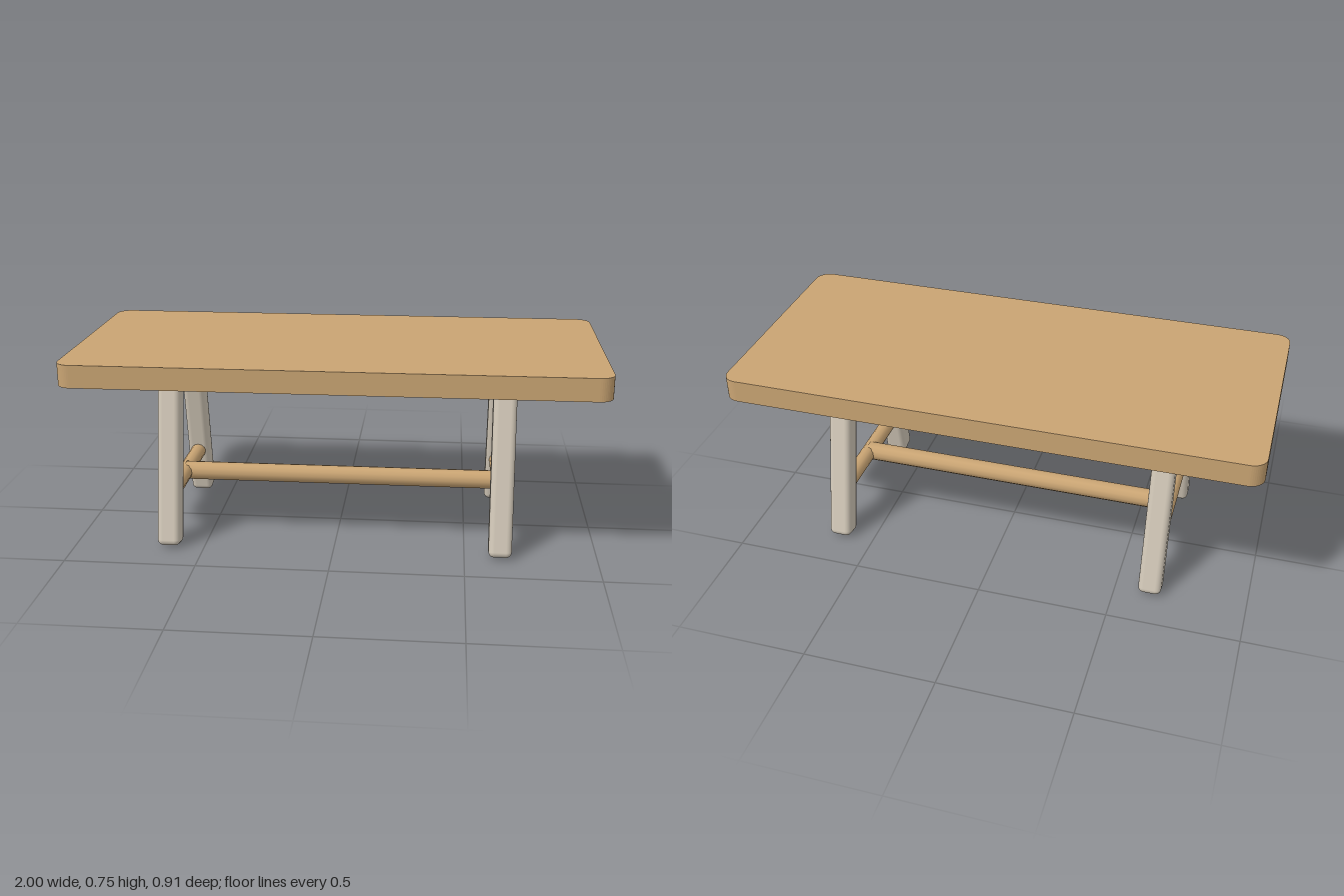
import * as THREE from 'three';
import { RoundedBoxGeometry } from 'three/addons/geometries/RoundedBoxGeometry.js';

const wood = new THREE.MeshStandardMaterial({ name: 'warm wood', color: 0xc9a473 });
const paint = new THREE.MeshStandardMaterial({ name: 'pale leg paint', color: 0xd2c8b8 });

function addMesh(parent, name, geometry, material) {
  const mesh = new THREE.Mesh(geometry, material);
  mesh.name = name;
  parent.add(mesh);
  return mesh;
}

// Rectangle outline with rounded corners, half sizes w and d
function roundedRect(w, d, r) {
  const s = new THREE.Shape();
  s.absarc(w - r, d - r, r, 0, Math.PI / 2);
  s.absarc(r - w, d - r, r, Math.PI / 2, Math.PI);
  s.absarc(r - w, r - d, r, Math.PI, Math.PI * 1.5);
  s.absarc(w - r, r - d, r, Math.PI * 1.5, Math.PI * 2);
  s.closePath();
  return s;
}

export function createModel() {
  const table = new THREE.Group();
  table.name = 'table';

  // Slab with rounded corners
  const slab = new THREE.ExtrudeGeometry(roundedRect(1, 0.457, 0.055), {
    depth: 0.086, bevelEnabled: false, curveSegments: 6,
  });
  slab.rotateX(-Math.PI / 2);
  addMesh(table, 'tableTop', slab, wood).position.y = 0.666;

  // Legs leaning in towards the top, one trestle at each end
  const legX = 0.634;
  const legGeometry = new RoundedBoxGeometry(0.088, 0.698, 0.088, 3, 0.022);
  const crossGeometry = new THREE.CylinderGeometry(0.0305, 0.0305, 0.54, 12);
  crossGeometry.rotateX(Math.PI / 2);
  for (const sx of [1, -1]) {
    const trestle = new THREE.Group();
    trestle.name = sx > 0 ? 'leftTrestle' : 'rightTrestle';
    trestle.position.x = sx * legX;
    table.add(trestle);
    for (const sz of [1, -1]) {
      const leg = addMesh(trestle, sz > 0 ? 'frontLeg' : 'backLeg', legGeometry, paint);
      leg.position.set(0, 0.348, sz * 0.251);
      leg.rotation.x = -sz * 0.2;
    }
    addMesh(trestle, 'crossRail', crossGeometry, wood).position.y = 0.194;
  }

  // Long rail joining the two cross rails
  const longGeometry = new THREE.CylinderGeometry(0.037, 0.037, legX * 2, 12);
  longGeometry.rotateZ(Math.PI / 2);
  addMesh(table, 'longRail', longGeometry, wood).position.y = 0.194;

  return table;
}
